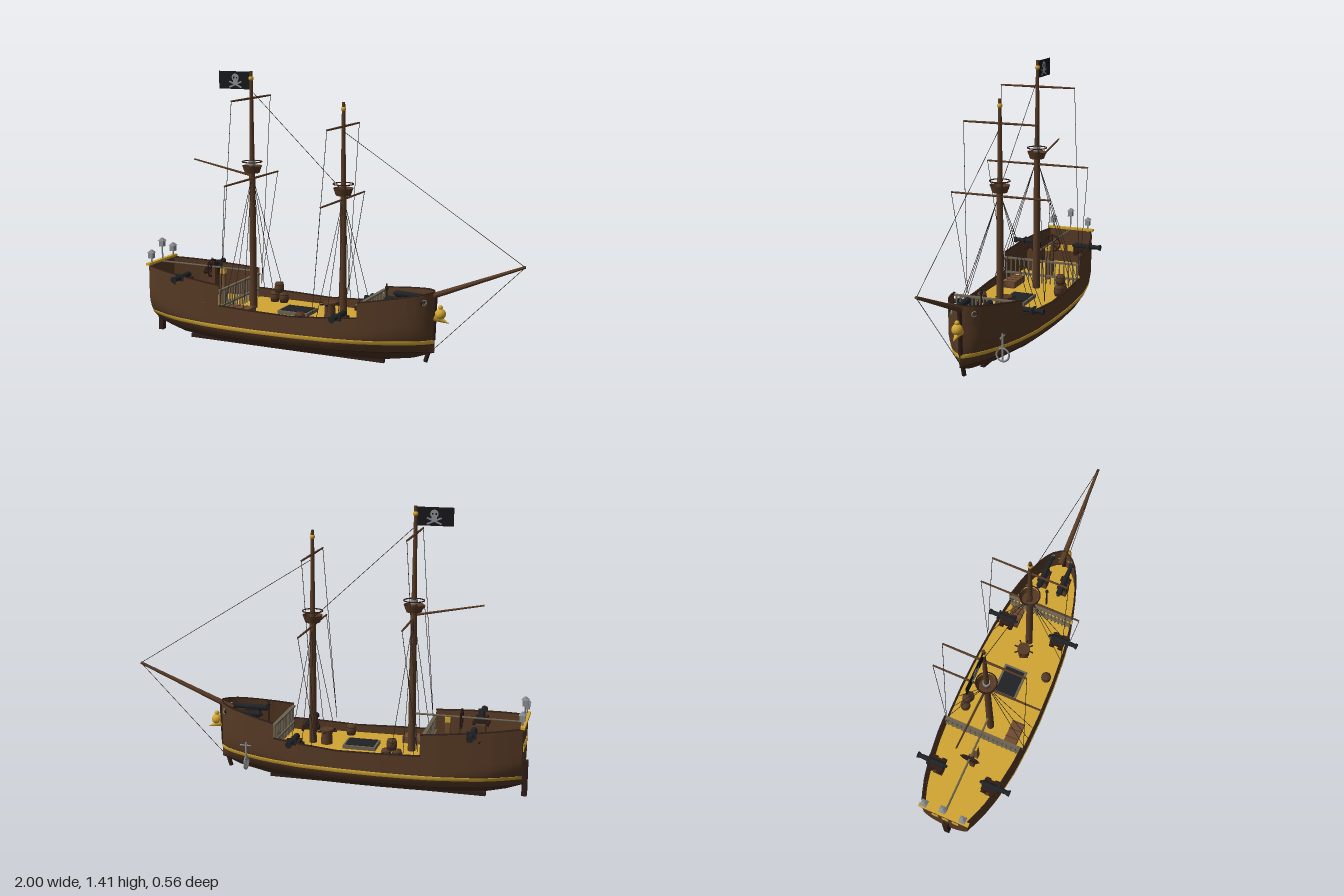
import * as THREE from 'three';

const mat = (name, color, double) => {
  const m = new THREE.MeshStandardMaterial({ color });
  m.name = name;
  if (double) m.side = THREE.DoubleSide;
  return m;
};
const V = (x, y, z) => new THREE.Vector3(x, y, z);

// Piecewise-linear lookup through [x, value] pairs
const lerpTable = (t) => (x) => {
  let i = 0;
  while (i < t.length - 2 && x > t[i + 1][0]) i++;
  const [a, b] = [t[i], t[i + 1]];
  const k = Math.min(1, Math.max(0, (x - a[0]) / (b[0] - a[0])));
  return a[1] + (b[1] - a[1]) * k;
};
const STERN = -0.98, BOW = 0.56, DECK = 0.2;
const beam = lerpTable([[-0.98, 0.122], [-0.92, 0.145], [-0.85, 0.168], [-0.75, 0.19], [-0.6, 0.21], [-0.45, 0.219], [-0.3, 0.222],
  [-0.1, 0.216], [0.08, 0.203], [0.23, 0.18], [0.32, 0.157], [0.4, 0.13], [0.46, 0.104], [0.5, 0.081], [0.53, 0.055], [0.55, 0.026], [0.56, 0]]);
const keelY = lerpTable([[-0.98, 0.078], [-0.9, 0.05], [-0.8, 0.028], [-0.5, 0.012], [0, 0.01], [0.3, 0.02], [0.45, 0.045], [0.56, 0.085]]);
const bilgeY = lerpTable([[-0.98, 0.24], [-0.8, 0.19], [-0.55, 0.155], [-0.2, 0.15], [0.1, 0.16], [0.35, 0.2], [0.56, 0.25]]);
const fullness = lerpTable([[-0.98, 0.75], [-0.6, 0.62], [0.1, 0.62], [0.56, 0.75]]);
const waistY = lerpTable([[-0.98, 0.27], [-0.51, 0.25], [-0.1, 0.24], [0.23, 0.262], [0.56, 0.29]]);
const aftY = lerpTable([[-0.98, 0.393], [-0.51, 0.355]]);
const foreY = lerpTable([[0.23, 0.338], [0.56, 0.387]]);
const sideZ = (x, y) => {
  const b = bilgeY(x);
  if (y >= b) return beam(x);
  const c = Math.min(1, (b - y) / (b - keelY(x)));
  return beam(x) * Math.pow(1 - c * c, fullness(x));
};

// Surface through cross-sections taken along x; section(x) returns [y, z] pairs
function skin(x0, x1, n, section) {
  const pos = [], idx = [];
  let m = 0;
  for (let i = 0; i <= n; i++) {
    const x = x0 + (x1 - x0) * i / n, s = section(x);
    m = s.length;
    s.forEach(([y, z]) => pos.push(x, y, z));
  }
  for (let i = 0; i < n; i++) for (let j = 0; j < m - 1; j++) {
    const a = i * m + j, b = a + m;
    idx.push(a, b, a + 1, b, b + 1, a + 1);
  }
  const g = new THREE.BufferGeometry();
  g.setAttribute('position', new THREE.Float32BufferAttribute(pos, 3));
  g.setIndex(idx);
  g.computeVertexNormals();
  return g;
}

export function createModel() {
  const ship = new THREE.Group();
  ship.name = 'sailingShip';
  const wood = mat('hull brown', 0x573a25, true), bottom = mat('lower hull brown', 0x4a3120, true);
  const dark = mat('dark wood', 0x2f1d17, true), gold = mat('gold', 0xd2a632, true);
  const iron = mat('black iron', 0x1f2225), grey = mat('grey metal', 0x8a8d90, true);
  const cloth = mat('black cloth', 0x17181a), rope = mat('rope', 0x2c2420);
  const plank = mat('plank brown', 0x6f4d31), worn = mat('weathered wood', 0x6c6250);

  const add = (name, geo, m, x = 0, y = 0, z = 0, parent = ship) => {
    const o = new THREE.Mesh(geo, m);
    o.name = name;
    o.position.set(x, y, z);
    parent.add(o);
    return o;
  };
  const box = (name, w, h, d, m, x, y, z, p) => add(name, new THREE.BoxGeometry(w, h, d), m, x, y, z, p);
  const cyl = (name, r1, r0, h, m, x, y, z, p, seg = 14) => add(name, new THREE.CylinderGeometry(r1, r0, h, seg), m, x, y, z, p);
  const ball = (name, r, m, x, y, z, p) => add(name, new THREE.SphereGeometry(r, 16, 12), m, x, y, z, p);
  // Tapered round bar between two points
  const bar = (name, a, b, r0, r1, m, seg = 8) => {
    const d = b.clone().sub(a), mid = a.clone().add(b).multiplyScalar(0.5);
    const o = cyl(name, r1, r0, d.length(), m, mid.x, mid.y, mid.z, ship, seg);
    o.quaternion.setFromUnitVectors(V(0, 1, 0), d.normalize());
  };
  const line = (a, b) => bar('rigging', a, b, 0.0014, 0.0014, rope, 5);

  // Hull: lower body, sides, bulwarks, transom
  const lowRow = (x, k) => keelY(x) + (0.088 - keelY(x)) * k * k;
  add('lowerHull', skin(STERN, BOW, 77, (x) => {
    const half = [0, 0.2, 0.4, 0.6, 0.8, 1].map((k) => [lowRow(x, k), sideZ(x, lowRow(x, k))]);
    return [...half.map(([y, z]) => [y, -z]).reverse(), ...half.slice(1)];
  }), bottom);
  for (const s of [-1, 1]) {
    add('hullSide', skin(STERN, BOW, 77, (x) => [0, 0.08, 0.16, 0.25, 0.35, 0.45, 0.6, 0.75, 1].map((k) => {
      const y = 0.088 + (waistY(x) - 0.088) * k;
      return [y, s * sideZ(x, y)];
    })), wood);
    for (const [name, x0, x1, top] of [['sternBulwark', STERN, -0.51, aftY], ['bowBulwark', 0.23, BOW, foreY]])
      add(name, skin(x0, x1, 33, (x) => [[waistY(x), s * beam(x)], [top(x), s * beam(x)]]), wood);
    // Rails capping the bulwarks
    for (const [x0, x1, top] of [[STERN, -0.51, aftY], [-0.51, 0.23, waistY], [0.23, BOW, foreY]])
      add('capRail', skin(x0, x1, 33, (x) => {
        const y = top(x), o = beam(x) + 0.001, i = Math.max(0, o - 0.01);
        return [[y - 0.003, s * o], [y + 0.002, s * o], [y + 0.002, s * i], [y - 0.003, s * i]];
      }), dark);
    // Gold stripe and dark wale
    const band = (name, y0, y1, t, m) => add(name, skin(STERN, BOW, 77, (x) =>
      [[y0, 0], [y0 + 0.002, t], [y1 - 0.002, t], [y1, 0]].map(([y, o]) => [y, s * (sideZ(x, y) + o)])), m);
    band('goldStripe', 0.13, 0.151, 0.004, gold);
    band('wale', 0.084, 0.091, 0.003, dark);
  }
  const transom = [0.078, 0.085, 0.1, 0.12, 0.14, 0.17, 0.2, 0.24, 0.393].map((y) => [y, sideZ(STERN, y)]);
  add('transom', new THREE.ShapeGeometry(new THREE.Shape(
    [...transom, ...transom.map(([y, z]) => [y, -z]).reverse().slice(0, -1)].map(([y, z]) => new THREE.Vector2(z, y)))), wood, STERN).rotation.y = -Math.PI / 2;
  box('sternRail', 0.022, 0.012, 0.27, gold, STERN, 0.4, 0);
  for (const z of [-0.055, 0, 0.055]) box('sternWindow', 0.008, 0.035, 0.034, gold, STERN, 0.283, z);
  box('keel', 1.1, 0.02, 0.022, dark, -0.25, 0.01, 0);
  box('rudder', 0.026, 0.18, 0.028, dark, -0.987, 0.11, 0);
  bar('stem', V(0.515, 0.035, 0), V(0.553, 0.16, 0), 0.011, 0.012, dark);
  bar('stem', V(0.553, 0.15, 0), V(0.562, 0.38, 0), 0.012, 0.011, dark);

  // Deck and the two balustrades across it
  add('deck', skin(STERN, BOW, 77, (x) => [[DECK, -sideZ(x, DECK) * 0.99], [DECK, sideZ(x, DECK) * 0.99]]), gold);
  for (const [x, w] of [[-0.51, 0.425], [0.23, 0.352]]) {
    for (const y of [0.245, 0.325]) box('balustradeRail', 0.018, 0.008, w, worn, x, y, 0);
    for (let i = 0; i <= 16; i++) box('baluster', 0.006, 0.125, 0.006, worn, x, DECK + 0.0625, (i / 16 - 0.5) * (w - 0.02));
  }
  // Low slatted crates
  for (const [x, z, w] of [[-0.43, 0.132, 0.135], [0.17, -0.122, 0.1]]) {
    box('crate', w, 0.034, 0.066, plank, x, DECK + 0.017, z);
    for (let i = 0; i <= 3; i++) box('crateSlat', 0.006, 0.036, 0.068, wood, x + (i / 3 - 0.5) * (w - 0.006), DECK + 0.018, z);
  }

  // Deck fittings
  box('hatchFrame', 0.165, 0.018, 0.125, worn, -0.175, 0.209, 0);
  box('hatchCover', 0.143, 0.02, 0.103, iron, -0.175, 0.212, 0);
  for (const [x, y, z] of [[-0.388, 0, -0.16], [-0.335, 0, -0.16], [-0.362, 0.052, -0.16], [-0.08, 0, 0.165]]) {
    const profile = [[0, 0], [0.021, 0], [0.026, 0.026], [0.021, 0.052], [0, 0.052]];
    add('barrel', new THREE.LatheGeometry(profile.map(([r, h]) => new THREE.Vector2(r, h)), 14), wood, x, DECK + y, z);
    for (const h of [0.012, 0.04]) add('barrelHoop', new THREE.TorusGeometry(0.0235, 0.0015, 5, 14), iron, x, DECK + y + h, z).rotation.x = Math.PI / 2;
  }
  cyl('capstan', 0.026, 0.03, 0.06, wood, 0.005, 0.23, 0);
  cyl('capstanHead', 0.034, 0.034, 0.014, wood, 0.005, 0.268, 0);
  for (let i = 0; i < 4; i++) box('capstanBar', 0.105, 0.006, 0.006, dark, 0.005, 0.266, 0).rotation.y = i * Math.PI / 4;
  const wheel = new THREE.Group();
  wheel.name = 'steeringWheel';
  wheel.position.set(-0.672, 0.385, 0);
  wheel.rotation.y = Math.PI / 2;
  ship.add(wheel);
  add('wheelRim', new THREE.TorusGeometry(0.044, 0.004, 6, 24), dark, 0, 0, 0, wheel);
  for (let i = 0; i < 4; i++) box('wheelSpoke', 0.106, 0.005, 0.005, dark, 0, 0, 0, wheel).rotation.z = i * Math.PI / 4;
  box('wheelPost', 0.018, 0.19, 0.025, wood, -0.657, 0.295, 0);
  box('binnacle', 0.024, 0.165, 0.024, plank, -0.605, 0.2825, 0);
  box('binnacleTop', 0.026, 0.026, 0.026, gold, -0.605, 0.375, 0);
  cyl('bellPost', 0.004, 0.005, 0.2, dark, 0.31, 0.3, 0);
  ball('bell', 0.009, iron, 0.31, 0.378, 0);

  // Cannons, pointing along local +z; high ones stand on a pedestal
  const cannon = (x, y, z, turn, length, width, port) => {
    const g = new THREE.Group();
    g.name = 'cannon';
    g.position.set(x, y, z);
    g.rotation.y = turn;
    ship.add(g);
    cyl('cannonBarrel', 0.011, 0.016, length, iron, 0, 0, 0.08 - length / 2, g).rotation.x = Math.PI / 2;
    cyl('cannonMuzzle', 0.017, 0.013, 0.014, iron, 0, 0, 0.08, g).rotation.x = Math.PI / 2;
    ball('cannonKnob', 0.009, iron, 0, 0, 0.073 - length, g);
    box('cannonCarriage', width, 0.026, 0.075, dark, 0, -0.022, -0.02, g);
    for (const s of [-1, 1]) for (const wz of [-0.043, 0.005])
      cyl('cannonWheel', 0.014, 0.014, 0.01, dark, s * (width / 2 + 0.005), -0.034, wz, g).rotation.z = Math.PI / 2;
    const gap = y - 0.048 - DECK;
    if (gap > 0.02) box('cannonPedestal', 0.044, gap, 0.05, wood, 0, -0.048 - gap / 2, -0.02, g);
    if (port) box('gunPort', 0.046, 0.034, 0.008, iron, 0, 0, port, g);
  };
  for (const s of [-1, 1]) {
    const turn = s > 0 ? 0 : Math.PI;
    cannon(-0.75, 0.365, s * 0.165, turn, 0.14, 0.06, 0.026);
    cannon(0.13, 0.26, s * 0.165, turn, 0.14, 0.06, 0.033);
    cannon(0.432, 0.342, s * 0.057, Math.PI / 2, 0.175, 0.034);
    add('bowPort', new THREE.TorusGeometry(0.0125, 0.003, 6, 14), grey, 0.525, 0.342, s * 0.058).rotation.y = Math.PI / 2 - s * 0.9;
  }

  // Masts, yards, crow's nests and shrouds
  const masts = [
    { x: -0.428, top: 1.41, knob: 1.373, nest: 0.9, yards: [[1.275, 0.202], [0.87, 0.28]] },
    { x: 0.077, top: 1.275, knob: 1.242, nest: 0.82, yards: [[1.157, 0.19], [0.8, 0.26]] }];
  for (const { x, top, knob, nest, yards } of masts) {
    bar('mast', V(x, DECK, 0), V(x, nest + 0.05, 0), 0.019, 0.015, wood, 14);
    bar('topmast', V(x, nest + 0.05, 0), V(x, top, 0), 0.013, 0.008, wood, 12);
    ball('mastKnob', 0.013, gold, x, knob, 0);
    add('crowsNest', new THREE.CylinderGeometry(0.05, 0.037, 0.036, 18, 1, true), wood, x, nest + 0.018, 0);
    cyl('nestFloor', 0.037, 0.037, 0.005, wood, x, nest + 0.003, 0);
    add('nestRail', new THREE.TorusGeometry(0.05, 0.003, 6, 24), dark, x, nest + 0.056, 0).rotation.x = Math.PI / 2;
    for (const [y, half] of yards) for (const s of [-1, 1]) {
      bar('yard', V(x, y, 0), V(x, y, s * half), 0.006, 0.0045, wood);
      line(V(x, y, s * half), V(x - 0.07, 0.27, s * beam(x - 0.07)));
    }
    for (const s of [-1, 1]) for (const dx of [-0.05, 0, 0.06])
      line(V(x, nest - 0.03, s * 0.01), V(x + dx, 0.25, s * (beam(x + dx) - 0.005)));
  }
  cyl('mastCollar', 0.018, 0.018, 0.022, grey, -0.428, 0.95, 0);
  bar('gaff', V(-0.43, 0.885, 0), V(-0.765, 0.95, 0), 0.006, 0.004, wood);
  bar('boom', V(-0.43, 0.392, 0), V(-0.98, 0.392, 0), 0.005, 0.005, worn);
  bar('bowsprit', V(0.5, 0.345, 0), V(0.998, 0.549, 0), 0.015, 0.007, wood, 12);
  line(V(0.995, 0.55, 0), V(0.075, 1.135, 0));
  line(V(0.075, 0.84, 0), V(-0.43, 1.315, 0));
  line(V(0.995, 0.545, 0), V(0.56, 0.105, 0));

  // Flag with skull and crossed bones
  box('flag', 0.18, 0.088, 0.003, cloth, -0.52, 1.362, 0);
  cyl('skull', 0.02, 0.02, 0.006, grey, -0.517, 1.375, 0).rotation.x = Math.PI / 2;
  box('skullJaw', 0.026, 0.02, 0.006, grey, -0.517, 1.355, 0);
  for (const s of [-1, 1]) {
    box('bone', 0.076, 0.008, 0.005, grey, -0.517, 1.341, 0).rotation.z = s * 0.4;
    box('eyeSocket', 0.007, 0.008, 0.008, cloth, -0.517 + s * 0.008, 1.375, 0);
  }

  // Stern lanterns
  for (const [z, y] of [[-0.103, 0.43], [0, 0.475], [0.103, 0.43]]) {
    cyl('lanternPost', 0.004, 0.004, y - 0.39, grey, -0.975, (y + 0.39) / 2, z);
    box('lantern', 0.026, 0.03, 0.026, grey, -0.975, y + 0.013, z);
    cyl('lanternRoof', 0.004, 0.025, 0.016, grey, -0.975, y + 0.036, z, ship, 4).rotation.y = Math.PI / 4;
  }

  // Figurehead
  ball('figureheadBody', 0.027, gold, 0.588, 0.28, 0);
  ball('figureheadHead', 0.012, gold, 0.588, 0.312, 0);
  bar('figureheadBeak', V(0.562, 0.264, 0), V(0.632, 0.238, 0), 0.022, 0.001, gold, 10);

  // Anchor on the right bow
  bar('anchorShank', V(0.385, 0.215, -0.141), V(0.385, 0.08, -0.141), 0.005, 0.005, grey);
  bar('anchorStock', V(0.355, 0.2, -0.141), V(0.415, 0.2, -0.141), 0.004, 0.004, grey);
  add('anchorRing', new THREE.TorusGeometry(0.032, 0.005, 6, 24), grey, 0.385, 0.11, -0.141).rotation.y = Math.PI / 2;
  return ship;
}
